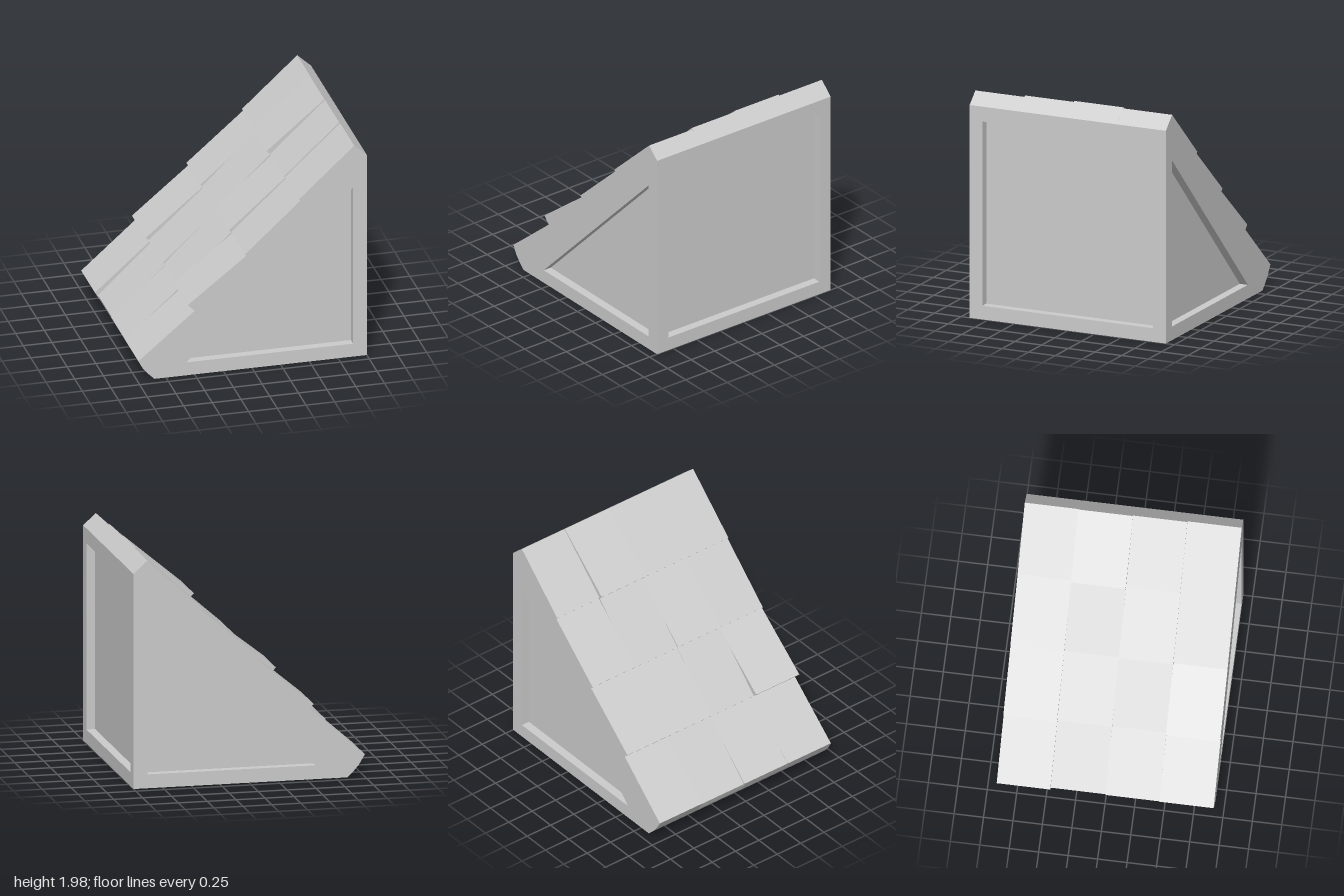
import * as THREE from 'three';

const D = 0.075; // depth of the side recesses
const B = 0.13; // depth of the bottom recess
const Z = 0.92; // half width
const cuts = [-Z, -0.465, 0, 0.46, Z]; // column boundaries along z
// Base points up the slope: eave, three steps, ridge
const base = [[-0.985, 0.175], [-0.5, 0.59], [-0.05, 1.05], [0.42, 1.505], [0.895, 1.955]];
// Lift of each shingle's lower edge above the base points, per column
const lift = [
  [0.017, 0.06, 0.035, 0.022, 0.015],
  [-0.01, 0.035, 0.02, 0.05, 0.022],
  [0, 0.025, 0.03, 0.02, 0.015],
  [0.005, 0.06, 0.012, 0.012, 0.005],
];
// Share of that lift kept by the shingle tucked below, per column
const tuck = [0.4, 0.4, 0.4, 0];

// Overlapping shingle outline from ridge down to eave
function slope(column) {
  const pts = [];
  for (let i = 4; i >= 0; i--) {
    const [x, y] = base[i];
    const h = lift[column][i];
    pts.push([x - h, y + h]);
    if (i > 0 && i < 4) pts.push([x - h * tuck[column], y + h * tuck[column]]);
  }
  return [...pts, [-0.95, 0.105], [-0.91, 0.058], [-0.85, 0]];
}

const toShape = (pts) => new THREE.Shape(pts.map(([x, y]) => new THREE.Vector2(x, y)));

function rectShape(x0, y0, x1, y1) {
  return toShape([[x0, y0], [x1, y0], [x1, y1], [x0, y1]]);
}

export function createModel() {
  const group = new THREE.Group();
  const material = new THREE.MeshStandardMaterial({ color: 0xcccccc, flatShading: true });

  function extrude(name, shape, depth, z = 0) {
    const geometry = new THREE.ExtrudeGeometry(shape, { depth, bevelEnabled: false });
    geometry.translate(0, 0, z);
    const mesh = new THREE.Mesh(geometry, material);
    mesh.name = name;
    group.add(mesh);
    return mesh;
  }

  // Shingled columns, set back behind the frames
  for (let c = 0; c < 4; c++) {
    const z0 = Math.max(cuts[c], -Z + D);
    const z1 = Math.min(cuts[c + 1], Z - D);
    const core = [[-0.85, B], [1 - D, B], [1 - D, 1.86], [1, 1.86], ...slope(c)];
    extrude('shingleColumn' + (c + 1), toShape(core), z1 - z0, z0);
  }

  // End frames with a triangular recess
  for (const [name, c, z] of [['frontFrame', 3, Z - D], ['backFrame', 0, -Z]]) {
    const shape = toShape([[1, 0], [1, 1.86], ...slope(c)]);
    shape.holes.push(toShape([[-0.57, 0.12], [0.88, 0.12], [0.88, 1.57]]));
    extrude(name, shape, D, z);
  }

  // Upright side frame, turned to face +x
  const side = rectShape(-Z + D, 0, Z - D, 1.86);
  side.holes.push(rectShape(-0.8, 0.12, 0.8, 1.73));
  const sideFrame = extrude('sideFrame', side, D);
  sideFrame.rotation.y = Math.PI / 2;
  sideFrame.position.x = 1 - D;

  // Bottom frame, turned to face down
  const bottom = rectShape(-0.85, -Z + D, 1 - D, Z - D);
  bottom.holes.push(rectShape(-0.76, -0.83, 0.887, 0.83));
  const bottomFrame = extrude('bottomFrame', bottom, B);
  bottomFrame.rotation.x = Math.PI / 2;
  bottomFrame.position.y = B;

  return group;
}
